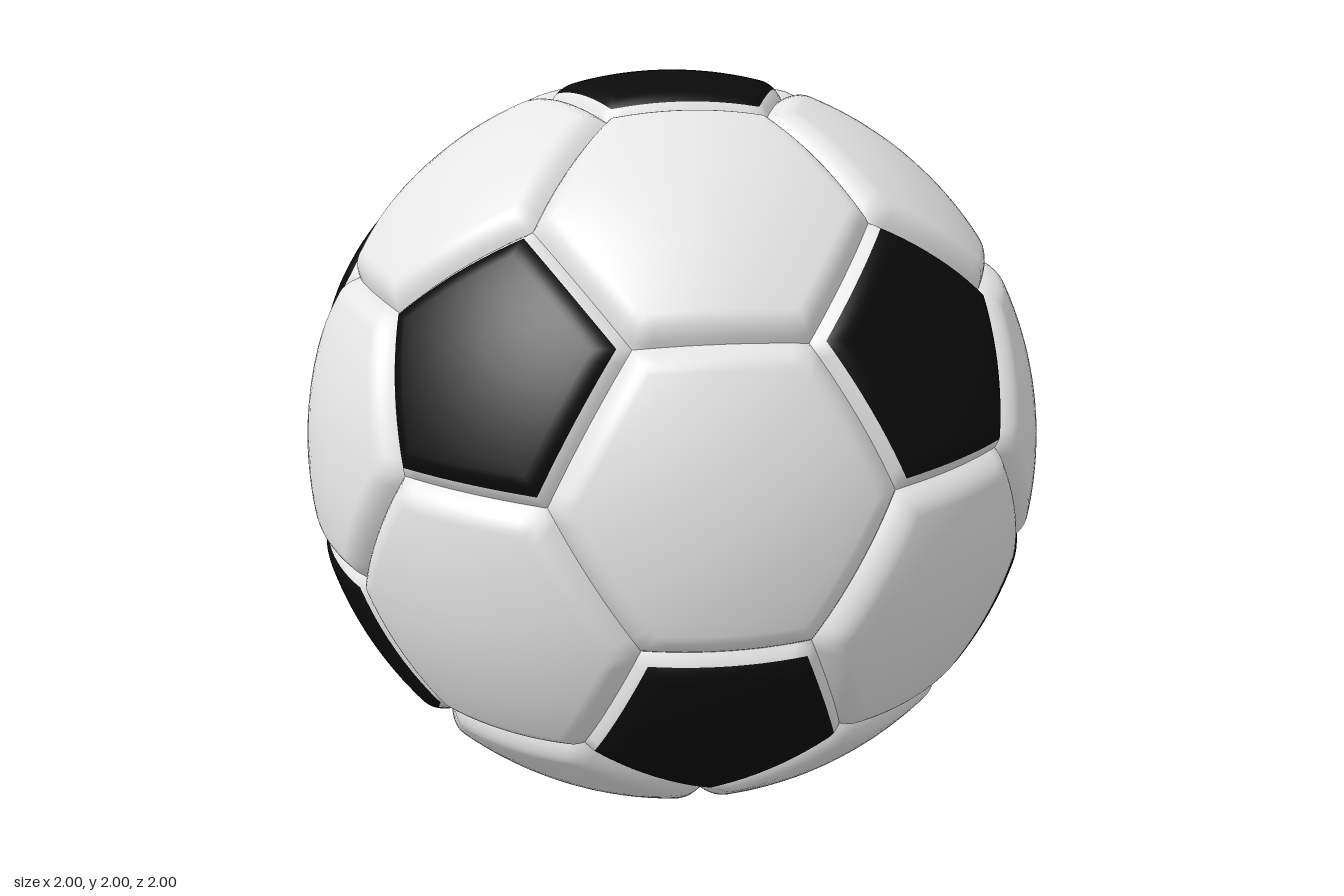
import * as THREE from 'three';

const SEGMENTS = 10;        // divisions along each panel edge
const SEAM_WIDTH = 0.07;    // how far the rounding reaches into a panel
const SEAM_DEPTH = 0.035;
const PAINT_INSET = 0.027;  // pale border around each black panel
const TURN = THREE.MathUtils.degToRad(1.9);

// Centres of the twelve pentagons: two poles and two staggered rings
function pentagonCentres() {
  const centres = [new THREE.Vector3(0, 1, 0), new THREE.Vector3(0, -1, 0)];
  const y = 1 / Math.sqrt(5), r = 2 / Math.sqrt(5);
  for (let i = 0; i < 5; i++) {
    for (const side of [1, -1]) {
      const a = TURN + (i + (side < 0 ? 0.5 : 0)) * Math.PI * 0.4;
      centres.push(new THREE.Vector3(r * Math.sin(a), side * y, r * Math.cos(a)));
    }
  }
  return centres;
}

// Sort corners anticlockwise as seen from outside the ball
function sortAround(corners, normal) {
  const u = corners[0].clone().projectOnPlane(normal).normalize();
  const v = normal.clone().cross(u);
  const angle = (p) => Math.atan2(p.dot(v), p.dot(u));
  return corners.sort((p, q) => angle(p) - angle(q));
}

// A padded panel made of concentric rings; group 0 is the middle, group 1 the border
function panelGeometry(corners) {
  const n = corners.length;
  const centre = corners.reduce((s, p) => s.add(p), new THREE.Vector3()).divideScalar(n);
  const ring = sortAround(corners, centre.clone().normalize());
  const apothem = ring[0].clone().add(ring[1]).multiplyScalar(0.5).distanceTo(centre);

  const insets = [];
  for (let i = 1; i <= 8; i++) insets.push(apothem + (SEAM_WIDTH - apothem) * i / 8);
  insets.push(0.058, 0.047, 0.037, PAINT_INSET, 0.018, 0.009, 0);

  const positions = [], index = [];
  const addPoint = (p, inset) => {
    const k = Math.max(0, 1 - inset / SEAM_WIDTH);
    p.normalize().multiplyScalar(1 - SEAM_DEPTH * k * k);
    positions.push(p.x, p.y, p.z);
  };
  addPoint(centre.clone(), apothem);
  const count = n * SEGMENTS;
  let split = 0;
  insets.forEach((inset, row) => {
    for (let i = 0; i < count; i++) {
      const e = Math.floor(i / SEGMENTS);
      const p = ring[e].clone().lerp(ring[(e + 1) % n], (i % SEGMENTS) / SEGMENTS);
      addPoint(centre.clone().lerp(p, 1 - inset / apothem), inset);
      const j = (i + 1) % count;
      const a = 1 + row * count + i, b = 1 + row * count + j;
      if (row === 0) index.push(0, a, b);
      else index.push(a - count, a, b, a - count, b, b - count);
    }
    if (inset === PAINT_INSET) split = index.length;
  });

  const g = new THREE.BufferGeometry();
  g.setAttribute('position', new THREE.Float32BufferAttribute(positions, 3));
  g.setIndex(index);
  g.computeVertexNormals();
  g.addGroup(0, split, 0);
  g.addGroup(split, index.length - split, 1);
  return g;
}

export function createModel() {
  const white = new THREE.MeshStandardMaterial({ color: 0xe6e6e6 });
  white.name = 'white';
  const black = new THREE.MeshStandardMaterial({ color: 0x0b0b0b });
  black.name = 'black';

  const ball = new THREE.Group();
  ball.name = 'ball';
  ball.position.y = 1;

  const centres = pentagonCentres();
  const adjacent = (a, b) => a !== b && a.dot(b) > 0.4;
  // Corner one third of the way from a to b
  const corner = (a, b) => a.clone().lerp(b, 1 / 3).normalize();
  const addPanel = (corners, materials, name) => {
    const mesh = new THREE.Mesh(panelGeometry(corners), materials);
    mesh.name = name;
    ball.add(mesh);
  };

  // Black pentagons with a pale seam border
  for (const a of centres) {
    const corners = centres.filter((b) => adjacent(a, b)).map((b) => corner(a, b));
    addPanel(corners, [black, white], 'pentagonPanel');
  }

  // White hexagons between every three neighbouring pentagons
  for (let i = 0; i < 12; i++) for (let j = i + 1; j < 12; j++) for (let k = j + 1; k < 12; k++) {
    const [a, b, c] = [centres[i], centres[j], centres[k]];
    if (!adjacent(a, b) || !adjacent(b, c) || !adjacent(a, c)) continue;
    const corners = [[a, b], [b, a], [b, c], [c, b], [c, a], [a, c]].map(([p, q]) => corner(p, q));
    addPanel(corners, [white, white], 'hexagonPanel');
  }

  const model = new THREE.Group();
  model.name = 'football';
  model.add(ball);
  return model;
}
